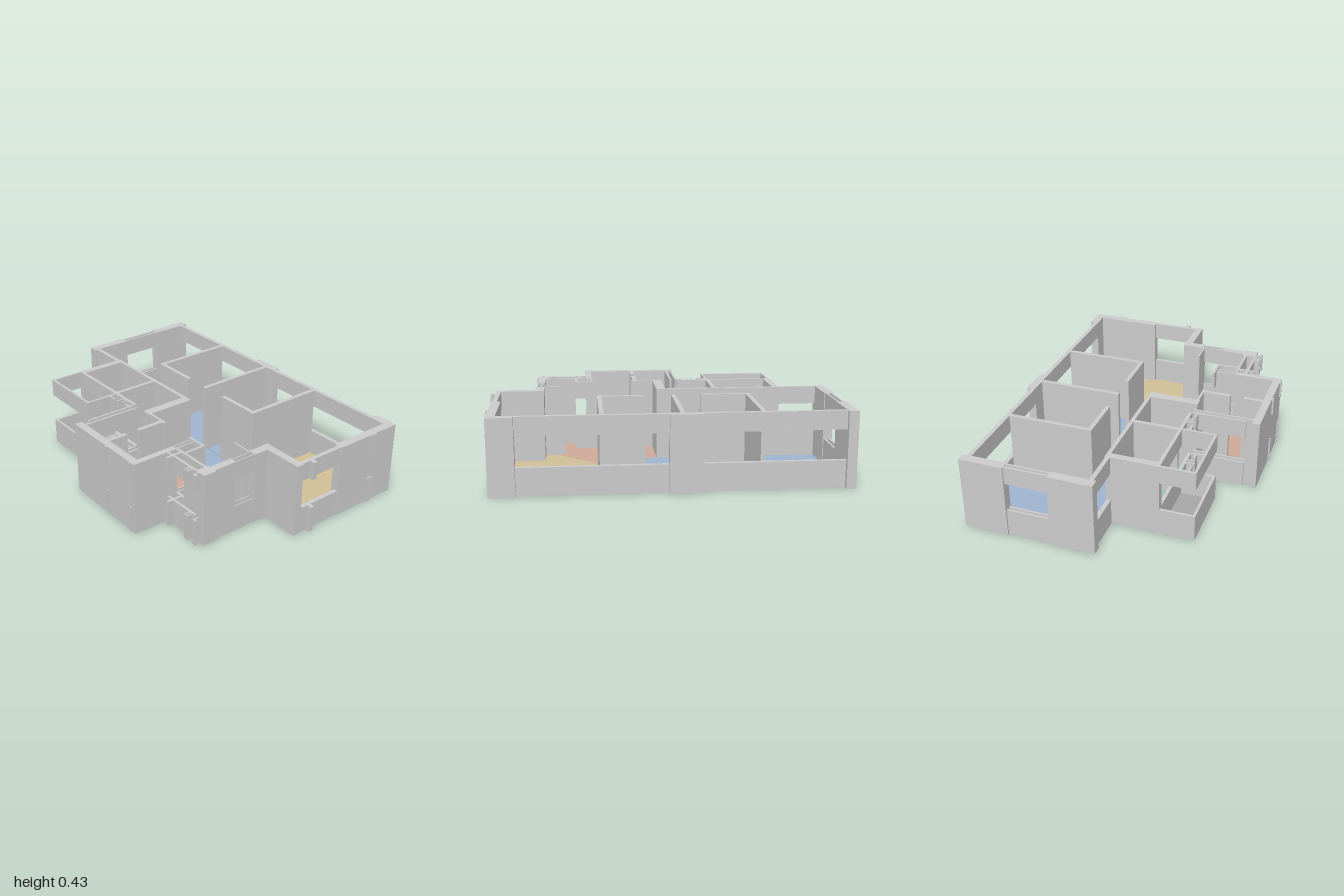
import * as THREE from 'three';

const H = 0.43, SILL = 0.155, HEAD = 0.325;

export function createModel() {
  const model = new THREE.Group();
  const wallMat = new THREE.MeshStandardMaterial({ color: 0xcccccc });

  // Box from plan limits and heights
  function block(name, [x0, x1, z0, z1], y0 = 0, y1 = H) {
    const mesh = new THREE.Mesh(new THREE.BoxGeometry(x1 - x0, y1 - y0, z1 - z0), wallMat);
    mesh.position.set((x0 + x1) / 2, (y0 + y1) / 2, (z0 + z1) / 2);
    mesh.name = name;
    model.add(mesh);
  }
  // Sill below and lintel above an open band
  function openBand(name, plan) {
    block(name + 'Sill', plan, 0, SILL);
    block(name + 'Lintel', plan, HEAD, H);
  }
  // Opening in a wall along z, with a hollow between two thin skins
  function hollowBand(name, [x0, x1, z0, z1], t = 0.012) {
    openBand(name + 'Outer', [x0, x0 + t, z0, z1]);
    openBand(name + 'Inner', [x1 - t, x1, z0, z1]);
  }
  // Flat room floor from plan corners
  function floor(name, color, pts) {
    const shape = new THREE.Shape(pts.map(([x, z]) => new THREE.Vector2(x, z)));
    const geo = new THREE.ShapeGeometry(shape).rotateX(Math.PI / 2);
    const mesh = new THREE.Mesh(geo, new THREE.MeshStandardMaterial({ color, side: THREE.DoubleSide }));
    mesh.position.y = 0.003;
    mesh.name = name;
    model.add(mesh);
  }
  const rect = (x0, x1, z0, z1) => [[x0, z0], [x1, z0], [x1, z1], [x0, z1]];

  // Outer walls
  [
    [-1, -0.945, -0.715, -0.46], [-1, -0.945, -0.21, 0.045],   // west
    [-0.17, 0.015, -0.715, -0.665],                            // back pier
    [0.83, 0.975, -0.715, -0.665], [0.925, 0.975, -0.665, -0.28], // north-east corner
    [0.695, 0.975, 0, 0.045],                                  // step on the east side
    [0.695, 0.745, 0.045, 0.13], [0.695, 0.74, 0.26, 0.41], [0.68, 0.75, 0.4, 0.48],
    [-0.135, 0.44, 0.655, 0.7], [0.405, 0.44, 0.42, 0.655],    // projecting front
    [-0.72, -0.68, 0, 0.305],                                  // bathroom side
  ].forEach(p => block('outerWall', p));

  // Interior walls
  [
    [-0.505, -0.48, -0.665, -0.165], [-0.48, -0.215, -0.19, -0.165],
    [-0.07, -0.045, -0.665, -0.17], [0.36, 0.385, -0.665, -0.17], [0.105, 0.36, -0.195, -0.17],
    [-0.68, -0.03, 0, 0.022], [-0.335, -0.312, 0.022, 0.285], [-0.03, 0.025, 0, 0.305],
    [0.025, 0.165, 0.285, 0.3], [0.125, 0.15, 0.3, 0.46], [0.125, 0.15, 0.54, 0.655],
    [0.575, 0.695, 0.13, 0.14], [0.51, 0.68, 0.41, 0.425],
  ].forEach(p => block('innerWall', p));

  // Walls with window openings
  openBand('backWindowWest', [-0.945, -0.17, -0.69, -0.665]);
  openBand('backWindowEast', [0.015, 0.83, -0.69, -0.665]);
  openBand('bedroomWindow', [-0.945, -0.72, 0.005, 0.03]);
  openBand('bathroomWindow', [-0.68, -0.13, 0.285, 0.305]);
  openBand('eastWindow', [0.945, 0.97, -0.28, 0]);
  openBand('hallWindow', [0.38, 0.51, 0.28, 0.295]);
  openBand('hallSideWindow', [0.495, 0.51, 0.295, 0.425]);
  openBand('hallFrontWindow', [0.44, 0.495, 0.41, 0.425]);
  hollowBand('westWindow', [-0.99, -0.95, -0.46, -0.21]);
  hollowBand('hallEastWindow', [0.705, 0.74, 0.13, 0.26], 0.006);
  hollowBand('kitchenWindow', [-0.13, -0.085, 0.305, 0.62]);
  block('kitchenCorner', [-0.1, -0.085, 0.62, 0.655]);
  hollowBand('entryWindow', [0.405, 0.44, 0.3, 0.42], 0.008);

  // Balcony parapets and upper bands
  openBand('balconySide', [-0.72, -0.705, 0.305, 0.505]);
  openBand('balconySide', [-0.325, -0.31, 0.305, 0.505]);
  openBand('balconyFront', [-0.705, -0.325, 0.49, 0.505]);

  // Small service ledge at the front
  openBand('ledgeFront', [0.44, 0.68, 0.47, 0.485]);
  openBand('ledgeSide', [0.475, 0.49, 0.425, 0.52]);

  // Small brackets beside the openings
  [
    [0.975, 0.985, -0.55, -0.535], [0.975, 0.985, -0.525, -0.51], [0.965, 1, -0.075, -0.05],
    [0.18, 0.19, 0.7, 0.71], [0.4, 0.41, 0.7, 0.71],
    [-0.31, -0.26, 0.34, 0.352], [-0.235, -0.225, 0.305, 0.355], [-0.205, -0.195, 0.305, 0.34],
    [-0.17, -0.13, 0.33, 0.342],
    [0.63, 0.64, 0.485, 0.52], [0.65, 0.66, 0.485, 0.52], [0.7, 0.725, 0.505, 0.518],
    [0.7, 0.71, 0.48, 0.505],
  ].forEach(p => openBand('bracket', p));

  // Room floors
  const blue = 0xa0b4d0, teal = 0x98c0c0;
  floor('bedroomFloor', blue, rect(-0.945, -0.495, -0.665, 0));
  floor('bedroomFloor', blue, rect(-0.48, -0.07, -0.665, -0.185));
  floor('bedroomFloor', blue, rect(-0.045, 0.365, -0.665, -0.19));
  floor('corridorFloor', blue, [[-0.495, -0.185], [0.36, -0.185], [0.34, -0.14], [0.26, -0.12],
    [0.11, 0.02], [0.025, 0.02], [0.025, 0], [-0.495, 0]]);
  floor('livingFloor', 0xd0c096, [[0.385, -0.665], [0.925, -0.665], [0.925, -0.28], [0.945, -0.28],
    [0.945, 0], [0.695, 0], [0.695, 0.13], [0.62, 0.13], [0.34, -0.14], [0.385, -0.17]]);
  floor('hallFloor', 0xd0aa9a, [[0.025, 0.02], [0.11, 0.02], [0.26, -0.12], [0.34, -0.14], [0.62, 0.13],
    [0.695, 0.13], [0.695, 0.41], [0.5, 0.41], [0.5, 0.29], [0.405, 0.29], [0.405, 0.655],
    [0.15, 0.655], [0.15, 0.285], [0.025, 0.285]]);
  floor('bathroomFloor', teal, rect(-0.68, -0.335, 0.022, 0.285));
  floor('bathroomFloor', teal, rect(-0.312, -0.03, 0.022, 0.285));
  floor('balconyFloor', 0xa6a6a8, rect(-0.705, -0.325, 0.305, 0.49));
  floor('kitchenFloor', 0xb2b5ae, [[-0.085, 0.305], [0.125, 0.305], [0.125, 0.47], [0.06, 0.505],
    [0.125, 0.54], [0.125, 0.655], [-0.085, 0.655]]);
  floor('ledgeFloor', 0xb2b5ae, rect(0.49, 0.675, 0.425, 0.47));

  return model;
}
